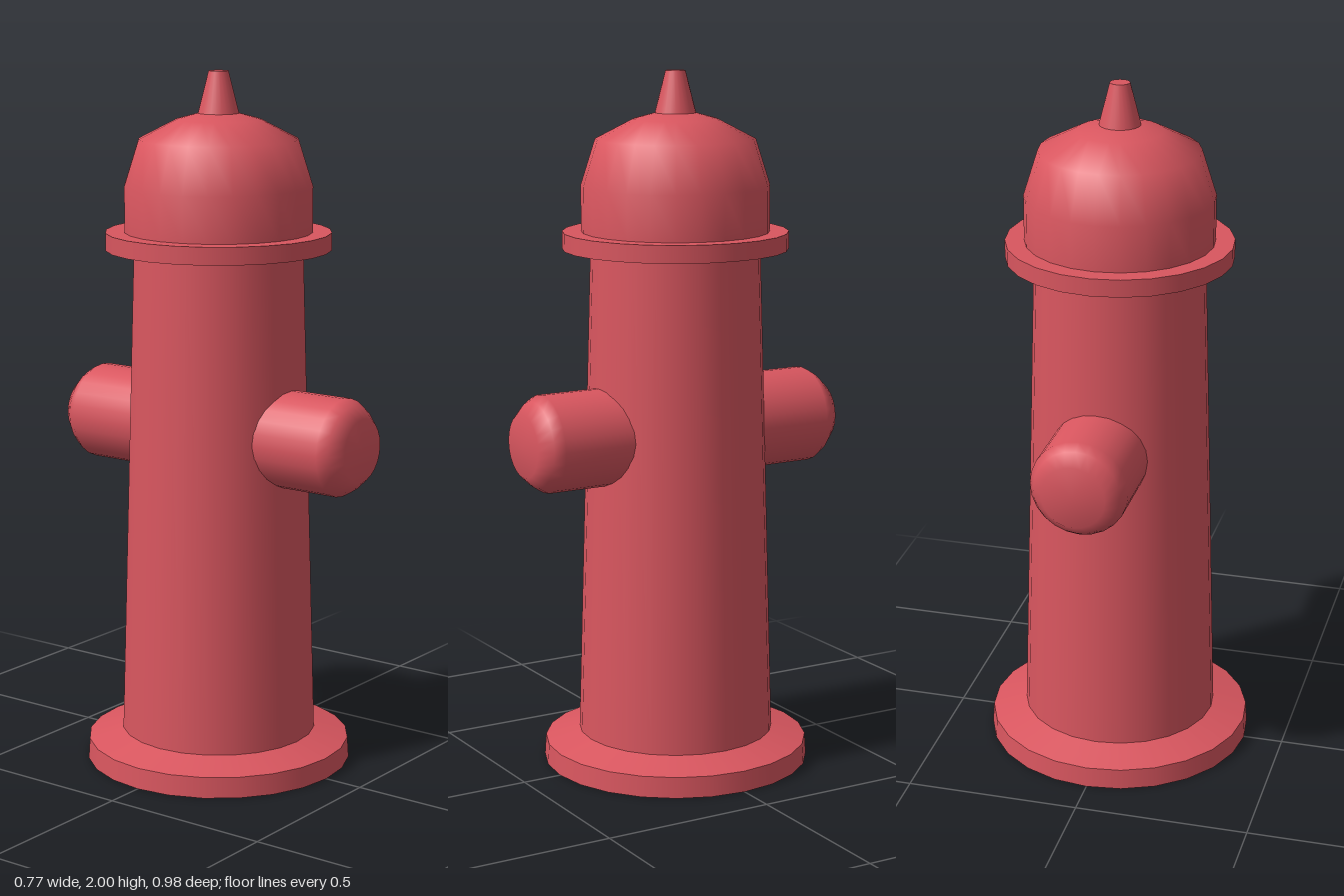
import * as THREE from 'three';
import { mergeGeometries } from 'three/addons/utils/BufferGeometryUtils.js';

const SIDES = 24;
const red = new THREE.MeshStandardMaterial({ color: 0xd9565f });

// Revolves each section on its own: smooth within a section, sharp between sections
function turned(name, ...sections) {
  const parts = sections.map((section) =>
    new THREE.LatheGeometry(section.map(([r, y]) => new THREE.Vector2(r, y)), SIDES));
  const mesh = new THREE.Mesh(mergeGeometries(parts), red);
  mesh.name = name;
  return mesh;
}

export function createModel() {
  const model = new THREE.Group();
  model.name = 'fireHydrant';

  // Foot plate with a bevelled top
  model.add(turned('base',
    [[0, 0], [0.385, 0]],
    [[0.385, 0], [0.381, 0.06]],
    [[0.381, 0.06], [0.28, 0.09]]));

  // Tapered barrel
  model.add(turned('barrel', [[0.282, 0.09], [0.241, 1.5]]));

  // Flange under the bonnet
  model.add(turned('flange',
    [[0.23, 1.5], [0.321, 1.5]],
    [[0.321, 1.5], [0.321, 1.55]],
    [[0.321, 1.55], [0.25, 1.55]]));

  // Domed bonnet
  model.add(turned('bonnet',
    [[0.267, 1.55], [0.267, 1.68], [0.226, 1.81], [0.12, 1.865], [0.055, 1.883], [0, 1.885]]));

  // Tapered finial
  model.add(turned('finial',
    [[0.058, 1.882], [0.028, 2]],
    [[0.028, 2], [0, 2]]));

  // Front and back outlets with chamfered, smooth-shaded caps
  for (const [name, side] of [['frontOutlet', 1], ['backOutlet', -1]]) {
    const outlet = turned(name,
      [[0.139, 0.15], [0.139, 0.43], [0.122, 0.458], [0.09, 0.492], [0, 0.492]]);
    outlet.rotation.x = side * Math.PI / 2;
    outlet.position.set(0.003, 0.98, 0);
    model.add(outlet);
  }

  return model;
}
